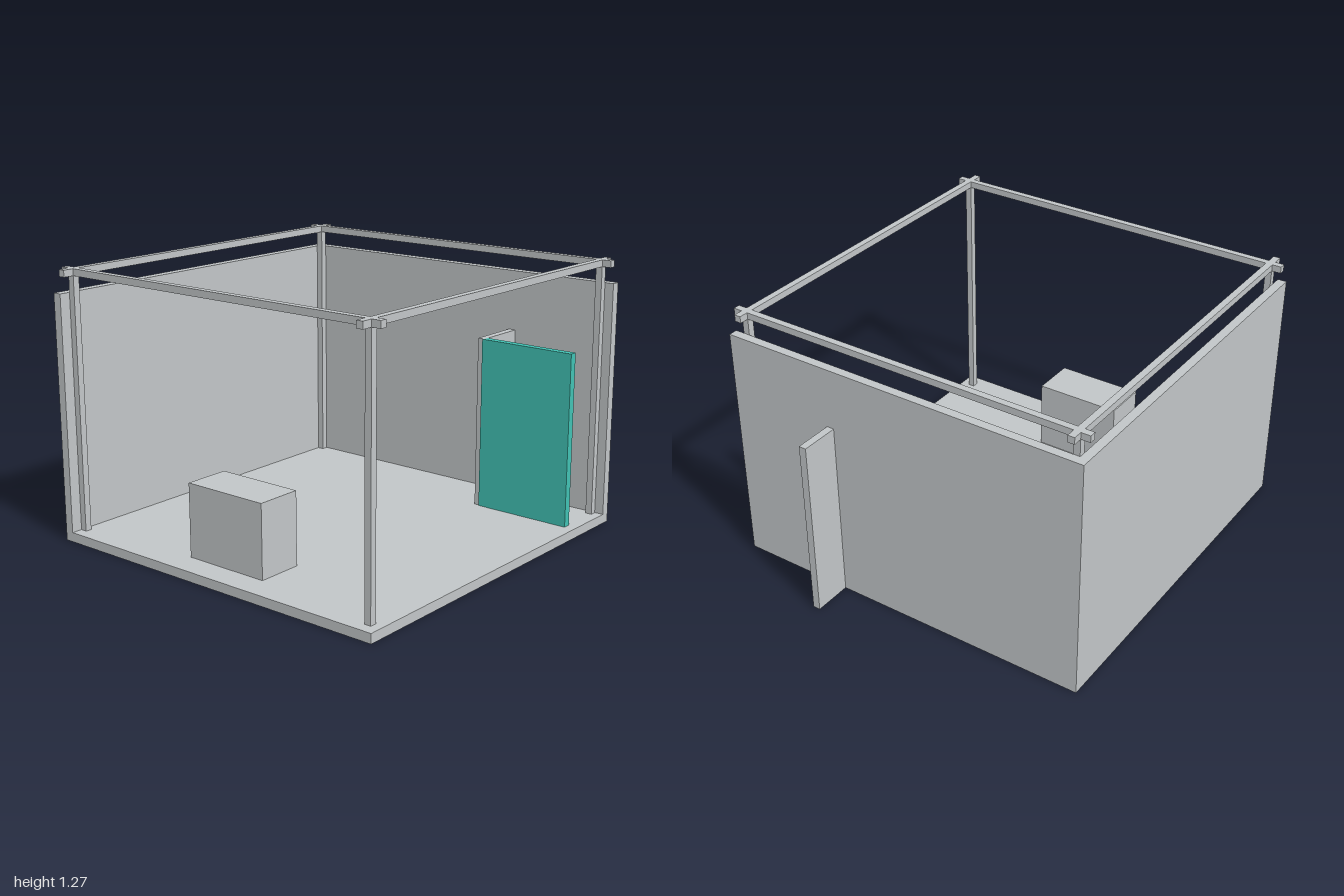
import * as THREE from 'three';

export function createModel() {
  const model = new THREE.Group();
  const grey = new THREE.MeshStandardMaterial({ color: 0xc2c6c8 });
  grey.name = 'pale grey';
  const teal = new THREE.MeshStandardMaterial({ color: 0x42c2b4 });
  teal.name = 'teal';

  // Box given by its extents along each axis
  function block(name, [x0, x1], [y0, y1], [z0, z1], material = grey) {
    const mesh = new THREE.Mesh(new THREE.BoxGeometry(x1 - x0, y1 - y0, z1 - z0), material);
    mesh.position.set((x0 + x1) / 2, (y0 + y1) / 2, (z0 + z1) / 2);
    mesh.name = name;
    model.add(mesh);
  }

  const halfWidth = 0.905, back = -0.815, front = 1;
  const floorTop = 0.045, wallTop = 1.165, frameTop = 1.275;

  // Floor and the two solid walls
  block('floor', [-halfWidth, halfWidth], [0, floorTop], [back, front]);
  block('backWall', [-halfWidth, halfWidth], [floorTop, wallTop], [back, -0.772]);
  block('sideWall', [-halfWidth, -0.862], [floorTop, wallTop], [-0.772, front]);

  // Frame: four posts under two pairs of crossing beams
  const postX = [[-0.861, -0.829], [0.829, 0.861]];
  const postZ = [[-0.771, -0.739], [0.916, 0.948]];
  const beamY = [1.243, frameTop];
  for (const x of postX) {
    block('sideBeam', x, beamY, [back, front]);
    for (const z of postZ) block('post', x, [floorTop, beamY[0]], z);
  }
  for (const z of postZ) block('crossBeam', [-halfWidth, halfWidth], beamY, z);

  // Partition passing through the back wall, with a coloured panel at its end
  block('partition', [0.342, 0.378], [0, 0.875], [-1, -0.51]);
  block('colouredPanel', [0.37, 0.857], [0.002, 0.875], [-0.54, -0.503], teal);

  // Low counter near the front
  block('counter', [-0.217, 0.213], [floorTop, 0.39], [0.652, 0.872]);

  return model;
}
